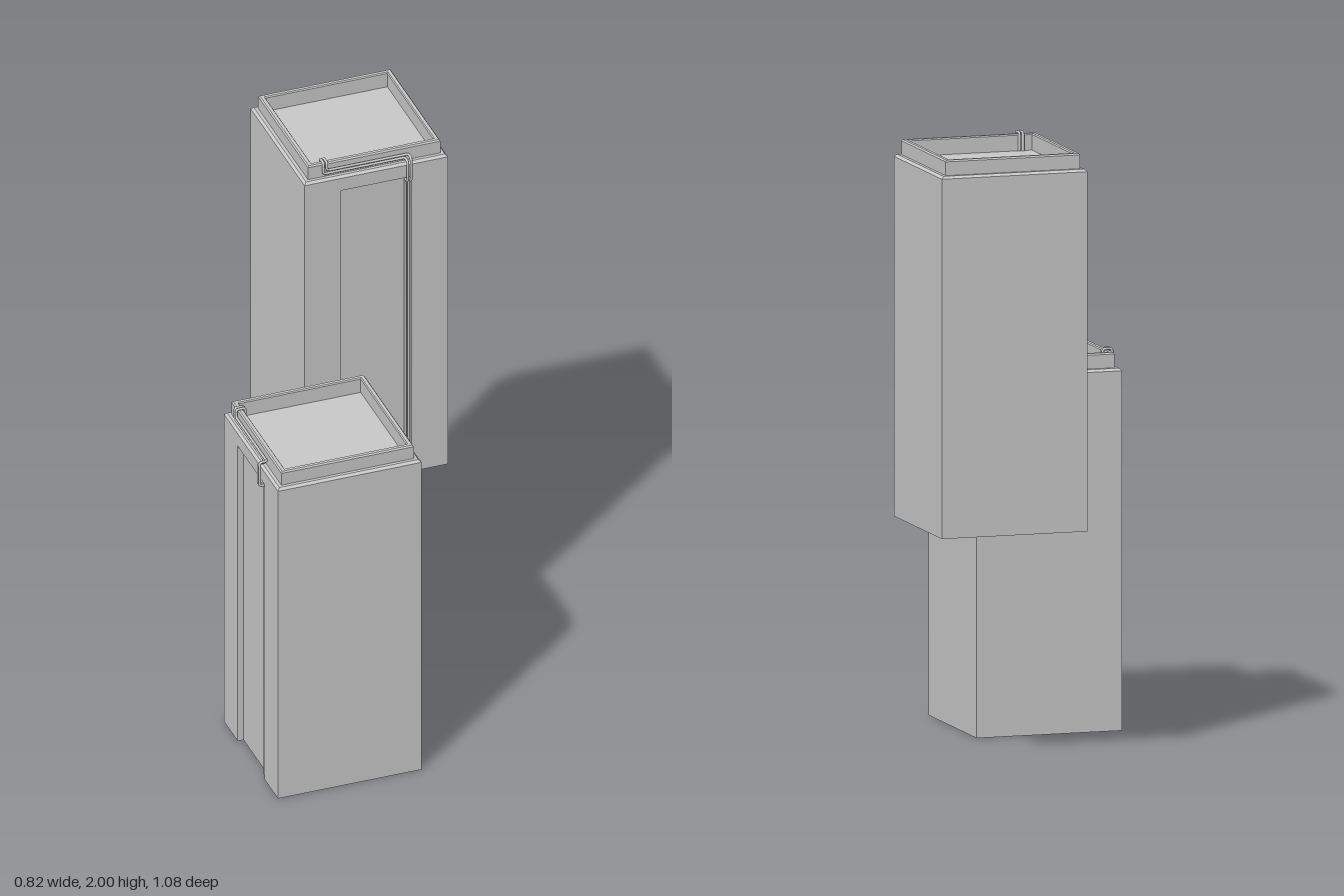
import * as THREE from 'three';

const HALF = 0.2475;           // half width of a tower
const material = new THREE.MeshStandardMaterial({ color: 0xcccccc, side: THREE.DoubleSide });

// Square outline at height y, inset on all sides, with a notch cut into the front
function outline(y, inset, notch = 0) {
  const h = HALF - inset, n = 0.122 * h / HALF;
  return [
    [-h, h], [-n, h], [-n, h - notch], [n, h - notch], [n, h], [h, h], [h, -h], [-h, -h],
  ].map(([x, z]) => new THREE.Vector3(x, y, z));
}

// Flat-shaded skin through successive outlines
function loft(loops) {
  const points = [];
  const triangle = (a, b, c) => {
    if (new THREE.Triangle(a, b, c).getArea() > 1e-8) points.push(a, b, c);
  };
  for (let k = 0; k < loops.length - 1; k++) {
    const lo = loops[k], hi = loops[k + 1];
    lo.forEach((p, i) => {
      const j = (i + 1) % lo.length;
      triangle(p, lo[j], hi[j]);
      triangle(p, hi[j], hi[i]);
    });
  }
  const geometry = new THREE.BufferGeometry().setFromPoints(points);
  geometry.computeVertexNormals();
  return geometry;
}

// Pipe along straight runs with small rounded bends
function pipe(corners, radius, bend) {
  const pts = corners.map((c) => new THREE.Vector3(...c));
  const path = [pts[0]];
  for (let i = 1; i < pts.length - 1; i++) {
    const toward = (q) => q.clone().sub(pts[i]).setLength(bend).add(pts[i]);
    const curve = new THREE.QuadraticBezierCurve3(toward(pts[i - 1]), pts[i], toward(pts[i + 1]));
    path.push(...curve.getPoints(3));
  }
  path.push(pts[pts.length - 1]);
  const line = new THREE.CurvePath();
  for (let i = 1; i < path.length; i++) line.add(new THREE.LineCurve3(path[i - 1], path[i]));
  // Sample at the path points only, so straight runs stay a single segment
  const lengths = line.getCurveLengths(), total = lengths[lengths.length - 1];
  const stops = [0, ...lengths.map((l) => l / total)];
  const sampler = new THREE.Curve();
  sampler.getPoint = (t) => {
    const s = Math.min(Math.max(t, 0), 1) * (stops.length - 1);
    const i = Math.min(Math.floor(s), stops.length - 2);
    return path[i].clone().lerp(path[i + 1], s - i);
  };
  sampler.getPointAt = sampler.getPoint;
  sampler.getTangentAt = (t) => {
    const e = 0.3 / (stops.length - 1);
    const a = sampler.getPoint(t - e).sub(sampler.getPoint(t)).normalize();
    const b = sampler.getPoint(t + e).sub(sampler.getPoint(t)).normalize();
    return b.sub(a).normalize();
  };
  return new THREE.TubeGeometry(sampler, path.length - 1, radius, 8);
}

function tower(name) {
  const group = new THREE.Group();
  group.name = name;
  const add = (partName, geometry) => {
    const mesh = new THREE.Mesh(geometry, material);
    mesh.name = partName;
    group.add(mesh);
  };

  // Open-bottomed body with a tall recess in its front and a bevelled top edge
  add('body', loft([
    outline(0, 0, 0.02), outline(1.13, 0, 0.02), outline(1.13, 0),
    outline(1.177, 0), outline(1.185, 0.008), outline(1.185, 0.019),
  ]));

  // Raised rim around a sunken roof
  add('rim', loft([
    outline(1.185, 0.019), outline(1.23, 0.019), outline(1.235, 0.023),
    outline(1.235, 0.034), outline(1.231, 0.037), outline(1.18, 0.037),
  ]));
  add('roof', loft([outline(1.18, 0.037), outline(1.18, HALF)]));

  // Pair of pipes: over the rim, along the ledge, round the edge and down the recess
  for (const i of [0, 1]) {
    const start = -0.178 + 0.012 * i, end = 0.103 + 0.012 * i, ledge = 1.2 + 0.011 * i;
    add(i ? 'outerPipe' : 'innerPipe', pipe([
      [start, 1.18, 0.205], [start, 1.2405, 0.205], [start, 1.2405, 0.236],
      [start, ledge, 0.236], [end, ledge, 0.236], [end, ledge, 0.261],
      [end, 1.122, 0.261], [end, 1.122, 0.238], [end, 0.005, 0.238],
    ], 0.0045, 0.008));
  }
  return group;
}

export function createModel() {
  const model = new THREE.Group();
  model.name = 'towers';

  const upper = tower('upperTower');
  upper.position.set(0.1625, 0.755, -0.2925);

  // Same tower, turned so its recess faces the side
  const lower = tower('lowerTower');
  lower.position.set(-0.1475, 0, 0.2875);
  lower.rotation.y = -Math.PI / 2;

  model.add(upper, lower);
  return model;
}
